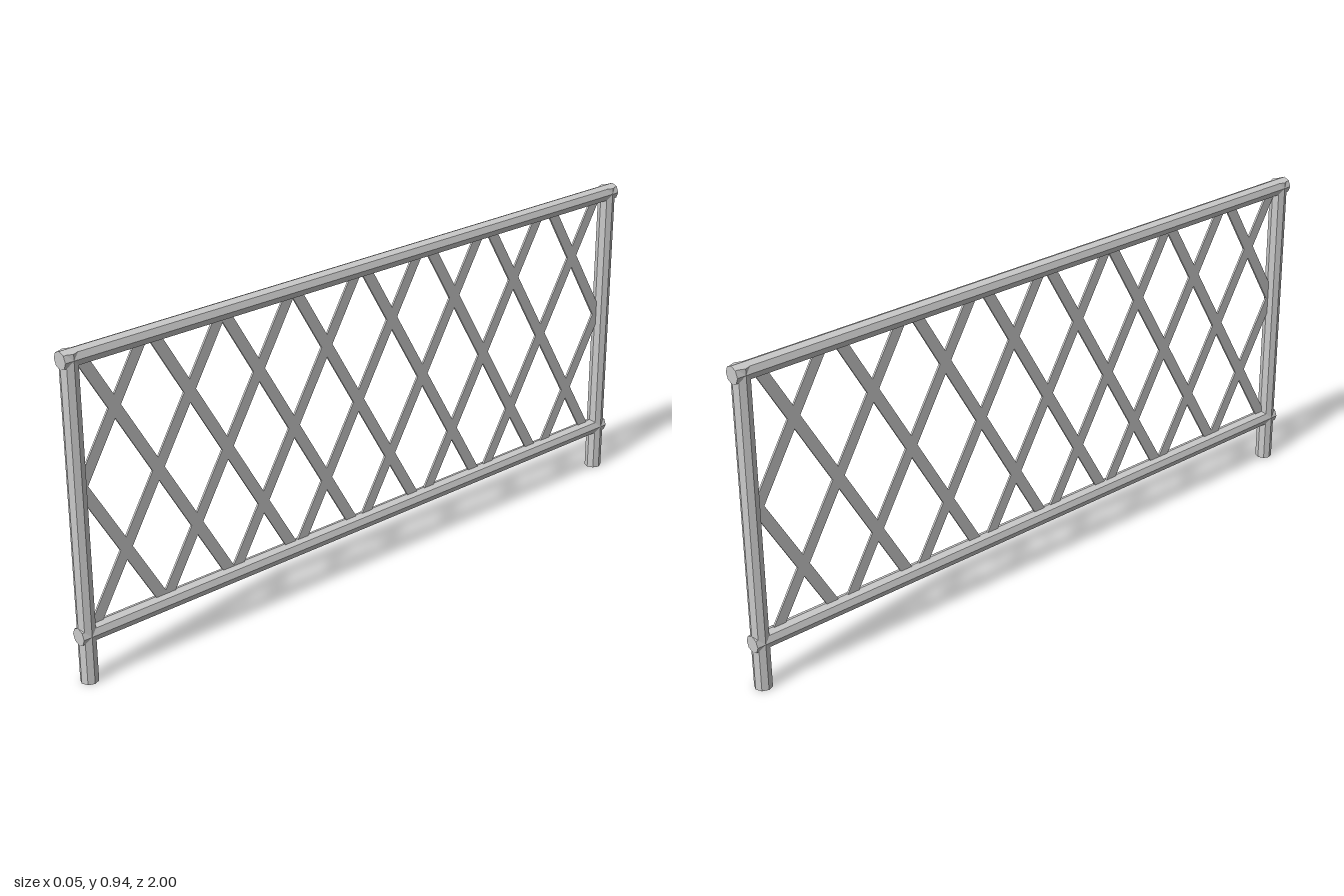
import * as THREE from 'three';

const material = new THREE.MeshStandardMaterial({ color: 0xcccccc, flatShading: true });
const RADIUS = 0.025, POST_Z = 0.975, LOW = 0.14, HIGH = 0.912;

// Eight-sided pole, upright by default
function pole(name, length) {
  const mesh = new THREE.Mesh(new THREE.CylinderGeometry(RADIUS, RADIUS, length, 8), material);
  mesh.name = name;
  return mesh;
}

// Flat lattice strip between two points given as [z, y]
function strip(name, [z0, y0], [z1, y1]) {
  const dz = z1 - z0, dy = y1 - y0;
  const mesh = new THREE.Mesh(new THREE.BoxGeometry(0.006, Math.hypot(dz, dy), 0.033), material);
  mesh.position.set(0, (y0 + y1) / 2, (z0 + z1) / 2);
  mesh.rotation.x = Math.atan2(dz, dy);
  mesh.name = name;
  return mesh;
}

// Lattice strip rising from z0 at the lower rail to z1 at the upper rail, cut at the posts
function latticeStrip(name, z0, z1) {
  const limit = POST_Z - 0.005;
  const at = (z) => {
    const c = THREE.MathUtils.clamp(z, -limit, limit);
    return [c, LOW + (HIGH - LOW) * (c - z0) / (z1 - z0)];
  };
  return strip(name, at(z0), at(z1));
}

export function createModel() {
  const fence = new THREE.Group();
  fence.name = 'fencePanel';

  // End posts
  for (const [name, side] of [['frontPost', 1], ['backPost', -1]]) {
    const post = pole(name, 0.93);
    post.position.set(0, 0.465, side * POST_Z);
    fence.add(post);
  }

  // Horizontal rails
  for (const [name, y] of [['lowerRail', LOW], ['upperRail', HIGH]]) {
    const rail = pole(name, 2);
    rail.rotation.x = Math.PI / 2;
    rail.position.y = y;
    fence.add(rail);
  }

  // Crossing lattice: z of each strip where it meets the rails' inner edges
  const lattice = new THREE.Group();
  lattice.name = 'lattice';
  const run = 0.43, extra = 0.011;
  const leanBack = [1.195, 0.945, 0.711, 0.476, 0.246, 0.005, -0.241, -0.487, -0.738];
  const leanFront = [0.73, 0.505, 0.285, 0.06, -0.18, -0.43, -0.675, -0.915, -1.17];
  leanBack.forEach((z) => {
    lattice.add(latticeStrip('backLeaningStrip', z + extra, z - run - extra));
  });
  leanFront.forEach((z) => {
    lattice.add(latticeStrip('frontLeaningStrip', z - extra, z + run + extra));
  });
  fence.add(lattice);
  return fence;
}
